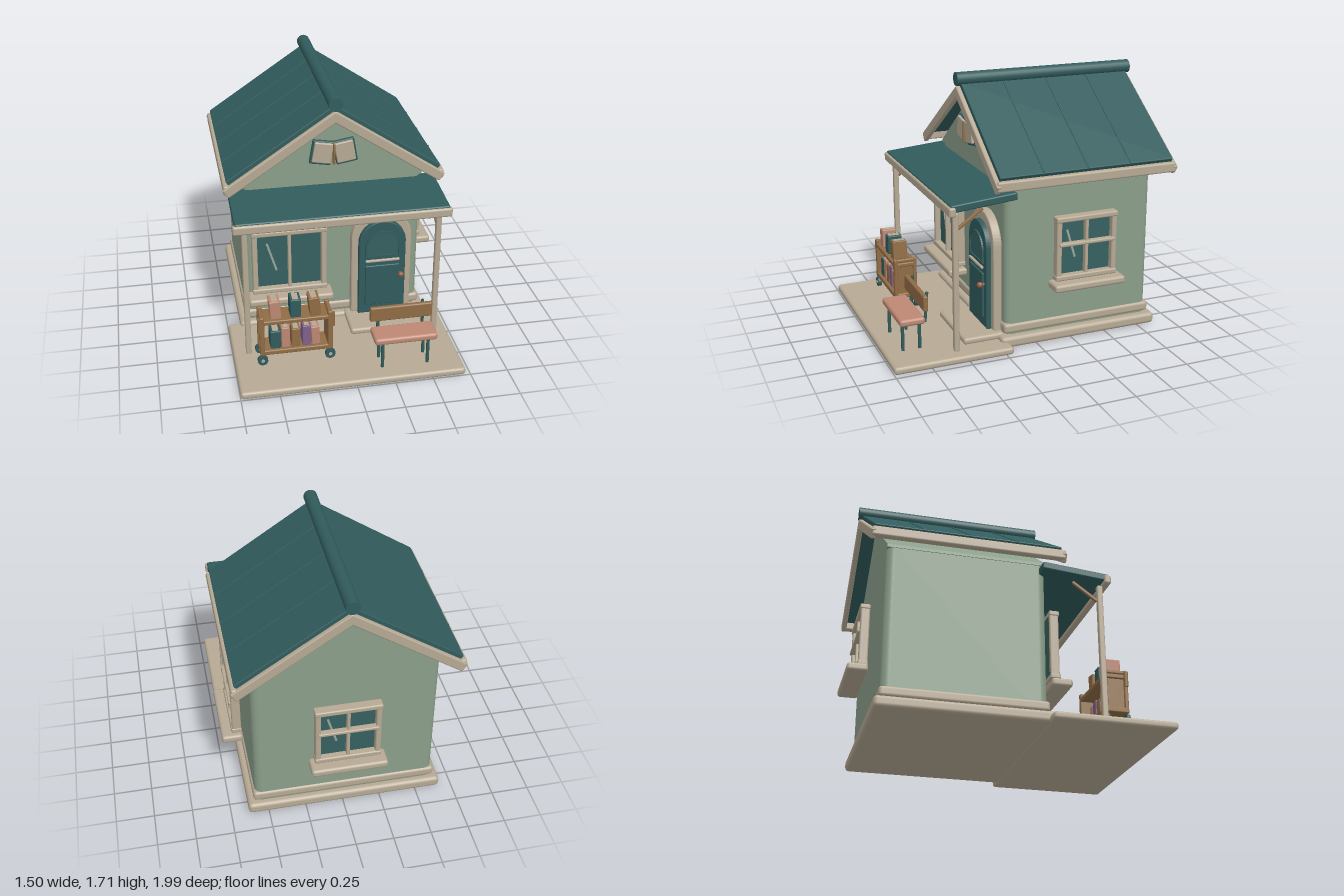
import * as THREE from 'three';
import { RoundedBoxGeometry } from 'three/addons/geometries/RoundedBoxGeometry.js';

const mat = (name, color) => {
  const m = new THREE.MeshStandardMaterial({ color });
  m.name = name;
  return m;
};

export function createModel() {
  const M = {
    sage: mat('sage wall', 0x8a9e89), teal: mat('teal', 0x315b5c), tan: mat('tan trim', 0xb6a994),
    wood: mat('brown wood', 0x8f6c45), pink: mat('dusty pink', 0xbd8873), purple: mat('purple', 0x80608c),
    glass: mat('window glass', 0x36605f), glint: mat('glass glint', 0x98a799), copper: mat('copper', 0x8e5c42),
  };
  const model = new THREE.Group();
  const CX = -0.016;                       // centre line of the house
  const BACK = -0.823, FRONT = 0.208, MIDZ = (BACK + FRONT) / 2;

  const add = (parent, name, geo, material, x = 0, y = 0, z = 0) => {
    const m = new THREE.Mesh(geo, material);
    m.name = name;
    m.position.set(x, y, z);
    parent.add(m);
    return m;
  };
  const group = (parent, name, x = 0, y = 0, z = 0) => {
    const g = new THREE.Group();
    g.name = name;
    g.position.set(x, y, z);
    parent.add(g);
    return g;
  };
  // softened box by centre and size
  const box = (parent, name, material, x, y, z, w, h, d, r = 0.01) =>
    add(parent, name, new RoundedBoxGeometry(w, h, d, 2, Math.min(r, w / 2.1, h / 2.1, d / 2.1)), material, x, y, z);
  const rod = (parent, name, material, x, y, z, r, len, axis = 'y', sides = 16) => {
    const m = add(parent, name, new THREE.CylinderGeometry(r, r, len, sides), material, x, y, z);
    if (axis === 'z') m.rotation.x = Math.PI / 2;
    if (axis === 'x') m.rotation.z = Math.PI / 2;
    return m;
  };
  const extrude = (shape, depth, bevel = 0) => new THREE.ExtrudeGeometry(shape, {
    depth, bevelEnabled: bevel > 0, bevelSize: bevel, bevelThickness: bevel, bevelOffset: -bevel, bevelSegments: 2, curveSegments: 14,
  });
  // door-like outline: straight sides and a round top
  const arch = (half, y0, spring, Type = THREE.Shape) => {
    const s = new Type();
    s.moveTo(-half, y0);
    s.lineTo(half, y0);
    s.lineTo(half, spring);
    s.absarc(0, spring, half, 0, Math.PI, false);
    s.lineTo(-half, y0);
    return s;
  };

  // ---- foundation and walls
  const house = group(model, 'house');
  box(house, 'foundation', M.tan, CX, 0.043, MIDZ, 1.3, 0.075, 1.12, 0.025);
  box(house, 'porchSlab', M.tan, CX, 0.025, 0.6, 1.468, 0.05, 0.8, 0.02);
  box(house, 'plinth', M.tan, CX, 0.122, MIDZ, 1.224, 0.066, 1.055, 0.02);
  const hw = 0.6, hd = (FRONT - BACK) / 2, r = 0.05;
  const plan = new THREE.Shape();
  plan.absarc(hw - r, hd - r, r, 0, Math.PI / 2, false);
  plan.absarc(-hw + r, hd - r, r, Math.PI / 2, Math.PI, false);
  plan.absarc(-hw + r, -hd + r, r, Math.PI, Math.PI * 1.5, false);
  plan.absarc(hw - r, -hd + r, r, Math.PI * 1.5, Math.PI * 2, false);
  add(house, 'walls', extrude(plan, 1.05), M.sage, CX, 0.05, MIDZ).rotation.x = -Math.PI / 2;
  const tri = new THREE.Shape();
  tri.moveTo(-0.605, 1.09);
  tri.lineTo(0.605, 1.09);
  tri.lineTo(0.605, 1.11);
  tri.lineTo(0, 1.56);
  tri.lineTo(-0.605, 1.11);
  add(house, 'gable', extrude(tri, FRONT - BACK), M.sage, CX, 0, BACK);

  // ---- main roof
  const roof = group(model, 'roof', CX, 0, 0);
  const A = 0.59, sn = Math.sin(A), cs = Math.cos(A), APEX = 1.625;
  for (const s of [-1, 1]) {
    // box lying along the slope: distance range, height range above the slope line
    const slope = (name, material, d0, d1, h0, h1, z, depth, rr) => {
      const d = (d0 + d1) / 2, h = (h0 + h1) / 2;
      box(roof, name, material, s * (d * cs + h * sn), APEX - d * sn + h * cs, z, d1 - d0, h1 - h0, depth, rr).rotation.z = -s * A;
    };
    slope('roofPanel', M.teal, 0, 0.835, -0.02, 0.028, -0.315, 1.21, 0.006);
    for (const z of [-0.005, -0.31, -0.61]) slope('roofSeam', M.teal, 0.02, 0.832, 0.026, 0.033, z, 0.01, 0.003);
    for (const z of [0.303, -0.93]) slope('bargeBoard', M.tan, 0, 0.884, -0.067, 0, z, 0.034, 0.01);
    box(roof, 'eaveTrim', M.tan, s * 0.702, 1.128, -0.313, 0.05, 0.066, 1.25, 0.012);
  }
  rod(roof, 'ridgeCap', M.teal, 0, 1.668, -0.313, 0.045, 1.266, 'z', 20);

  // ---- porch
  const porch = group(model, 'porch', CX, 0, 0);
  box(porch, 'porchRoof', M.teal, 0, 1.033, 0.385, 1.386, 0.05, 0.44, 0.01).rotation.x = 0.085;
  box(porch, 'porchBeam', M.tan, 0, 0.998, 0.597, 1.413, 0.062, 0.045, 0.014);
  for (const s of [-1, 1]) {
    box(porch, 'porchPost', M.tan, s * 0.631, 0.51, 0.56, 0.037, 0.93, 0.037, 0.008);
    box(porch, 'porchBrace', M.wood, s * 0.631, 0.925, 0.46, 0.02, 0.02, 0.2, 0.004).rotation.x = 0.62;
  }

  // ---- windows, built facing +z with the wall at z = 0
  const makeWindow = (name, x, z, turn, w, y0, y1, sillW, sillY, barY) => {
    const g = group(model, name, x, 0, z);
    g.rotation.y = turn;
    const h = y1 - y0, cy = (y0 + y1) / 2, t = 0.036;
    box(g, 'glass', M.glass, 0, cy, 0.045, w - 0.03, h - 0.03, 0.02, 0.003);
    for (const s of [-1, 1]) box(g, 'jamb', M.tan, s * (w / 2 - t / 2 - 0.004), cy, 0.065, t, h - 0.01, 0.06);
    for (const y of [y0 + t / 2, y1 - t / 2]) box(g, 'rail', M.tan, 0, y, 0.067, w, t, 0.068);
    box(g, 'mullion', M.tan, 0, cy, 0.072, 0.022, h - 0.04, 0.04, 0.007);
    if (barY) box(g, 'glazingBar', M.tan, 0, barY, 0.085, w - 0.04, 0.022, 0.045, 0.007);
    box(g, 'sill', M.tan, 0, sillY, 0.1, sillW, 0.052, 0.136, 0.018);
    const gl = add(g, 'glint', new THREE.BoxGeometry(0.014, h * 0.46, 0.006), M.glint, -w * 0.23, cy + h * 0.05, 0.058);
    gl.rotation.z = 0.29;
  };
  makeWindow('frontWindow', -0.323, FRONT, 0, 0.51, 0.33, 0.8, 0.575, 0.298, 0);
  makeWindow('sideWindow', CX + hw, -0.32, Math.PI / 2, 0.435, 0.44, 0.872, 0.5, 0.414, 0.685);
  makeWindow('backWindow', CX, BACK, Math.PI, 0.435, 0.44, 0.872, 0.5, 0.414, 0.685);

  // ---- door
  const door = group(model, 'door', 0.312, 0, FRONT);
  const surround = arch(0.208, 0.09, 0.66);
  surround.holes.push(arch(0.158, 0.09, 0.645, THREE.Path));
  add(door, 'doorFrame', extrude(surround, 0.04, 0.01), M.tan, 0, 0, 0.01);
  add(door, 'doorLeaf', extrude(arch(0.162, 0.09, 0.64), 0.07, 0.008), M.teal, 0, 0, 0.014);
  const rim = arch(0.118, 0.535, 0.612);
  rim.holes.push(arch(0.108, 0.545, 0.612, THREE.Path));
  add(door, 'doorWindowRim', extrude(rim, 0.014), M.teal, 0, 0, 0.09);
  add(door, 'doorWindow', extrude(arch(0.108, 0.545, 0.612), 0.004), M.glass, 0, 0, 0.091);
  box(door, 'lowerPanel', M.teal, 0, 0.315, 0.095, 0.236, 0.31, 0.02, 0.006);
  box(door, 'letterBar', M.tan, 0, 0.508, 0.102, 0.236, 0.018, 0.018, 0.006);
  add(door, 'doorKnob', new THREE.SphereGeometry(0.021, 16, 12), M.copper, 0.125, 0.395, 0.123);
  rod(door, 'knobStem', M.copper, 0.125, 0.395, 0.105, 0.009, 0.03, 'z');
  box(door, 'doorStep', M.tan, 0, 0.067, 0.14, 0.5, 0.045, 0.28, 0.018);

  // ---- open book emblem on the gable
  const emblem = group(model, 'bookEmblem', CX, 1.315, FRONT);
  for (const s of [-1, 1]) {
    const leaf = group(emblem, 'bookHalf', s * 0.078, 0, 0);
    leaf.rotation.z = s * 0.17;
    box(leaf, 'cover', M.teal, 0, 0, 0.025, 0.142, 0.165, 0.03, 0.008);
    box(leaf, 'pages', M.tan, -s * 0.004, 0.004, 0.045, 0.125, 0.14, 0.024, 0.008);
  }
  box(emblem, 'spine', M.wood, 0, -0.005, 0.05, 0.014, 0.145, 0.03, 0.005);

  // ---- bench
  const bench = group(model, 'bench', 0.338, 0, 0);
  box(bench, 'seat', M.pink, 0, 0.256, 0.823, 0.414, 0.048, 0.168, 0.018);
  box(bench, 'backrest', M.wood, 0, 0.367, 0.735, 0.414, 0.104, 0.032, 0.01);
  for (const s of [-1, 1]) {
    rod(bench, 'frontLeg', M.teal, s * 0.15, 0.145, 0.877, 0.011, 0.19);
    rod(bench, 'backLeg', M.teal, s * 0.15, 0.145, 0.765, 0.011, 0.19);
    rod(bench, 'backSupport', M.teal, s * 0.15, 0.325, 0.718, 0.01, 0.2).rotation.x = -0.08;
  }

  // ---- book cart
  const cart = group(model, 'bookCart', -0.352, 0, 0.665);
  box(cart, 'topShelf', M.wood, 0, 0.383, 0, 0.475, 0.03, 0.16, 0.008);
  box(cart, 'bottomShelf', M.wood, 0, 0.157, 0, 0.475, 0.034, 0.16, 0.008);
  for (const s of [-1, 1]) {
    box(cart, 'sidePanel', M.wood, s * 0.215, 0.28, 0, 0.018, 0.25, 0.14, 0.005);
    box(cart, 'sideRail', M.wood, s * 0.222, 0.412, 0, 0.026, 0.024, 0.16, 0.008);
    rod(cart, 'handle', M.wood, s * 0.238, 0.365, 0.068, 0.014, 0.1);
    for (const z of [-0.068, 0.068]) {
      box(cart, 'cartPost', M.wood, s * 0.222, 0.283, z, 0.032, 0.288, 0.026, 0.008);
      rod(cart, 'wheel', M.teal, s * 0.222, 0.1, z, 0.034, 0.024, 'z', 20);
      rod(cart, 'wheelHub', M.tan, s * 0.222, 0.1, z, 0.012, 0.03, 'z', 12);
    }
  }
  const book = (material, x, y, w, h, tilt) => {
    const g = group(cart, 'book', x, y, 0.012);
    g.rotation.z = tilt;
    box(g, 'bookCover', material, 0, h / 2, 0, w, h, 0.1, 0.006);
    add(g, 'bookPages', new THREE.BoxGeometry(w * 0.55, 0.008, 0.078), M.tan, 0, h - 0.001, 0);
  };
  book(M.pink, -0.128, 0.398, 0.07, 0.13, 0.06);
  book(M.teal, 0, 0.398, 0.07, 0.13, 0);
  book(M.wood, 0.13, 0.398, 0.07, 0.13, 0.09);
  [[M.teal, -0.133, 0.07, 0.13], [M.pink, -0.068, 0.055, 0.15], [M.wood, 0, 0.058, 0.135],
    [M.purple, 0.07, 0.055, 0.15], [M.pink, 0.132, 0.055, 0.135]]
    .forEach(([m, x, w, h], i) => book(m, x, 0.174, w, h, i === 4 ? 0.06 : 0));

  return model;
}
